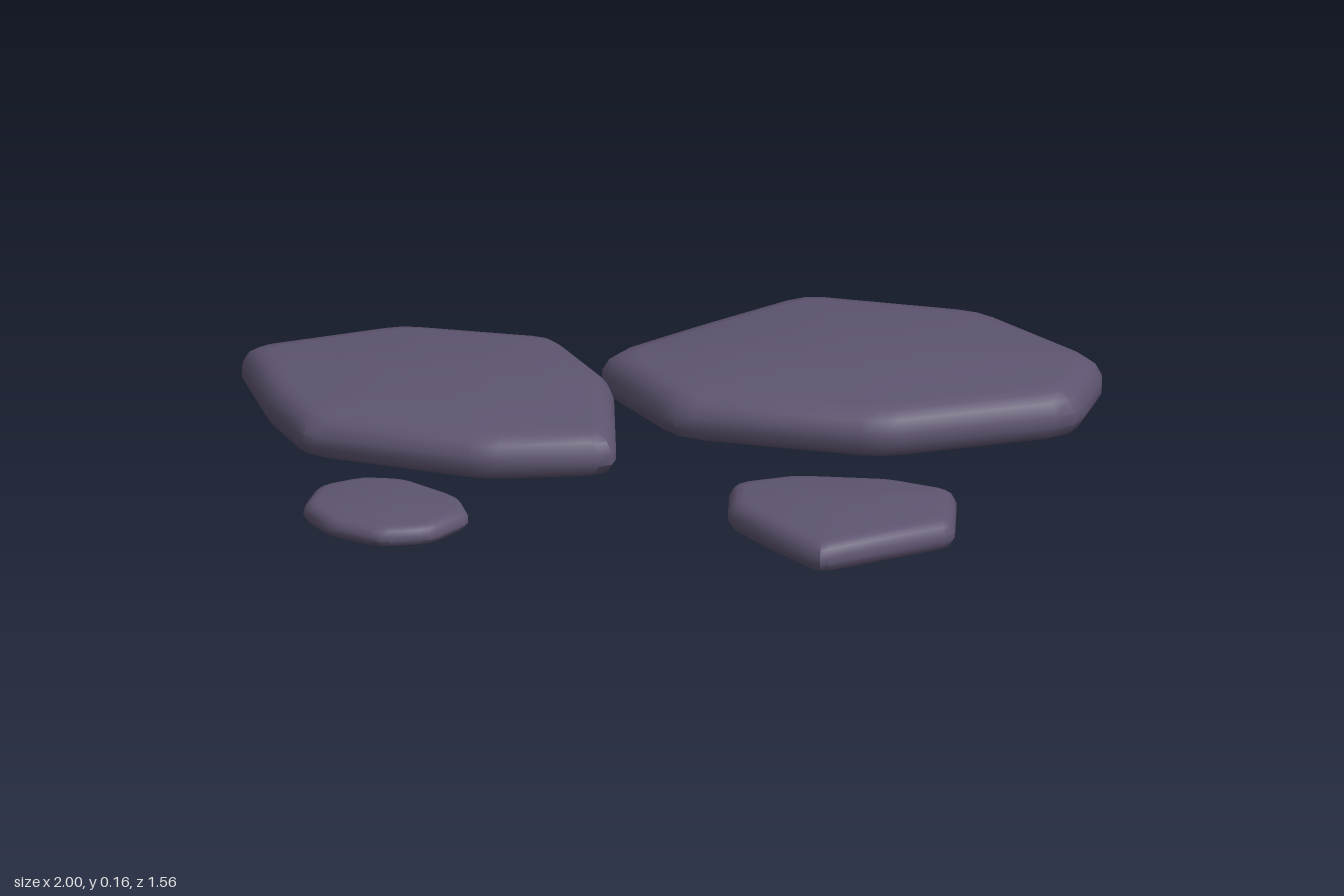
import * as THREE from 'three';
import { toCreasedNormals } from 'three/addons/utils/BufferGeometryUtils.js';

// Moves every side of a polygon inwards by d, keeping mitred corners.
function inset(points, d) {
  const n = points.length;
  const normal = (a, b) => new THREE.Vector2(a.y - b.y, b.x - a.x).normalize();
  return points.map((p, i) => {
    const n1 = normal(points[(i + n - 1) % n], p);
    const n2 = normal(p, points[(i + 1) % n]);
    return p.clone().addScaledVector(n1.clone().add(n2), d / (1 + n1.dot(n2)));
  });
}

// Replaces each corner by a short curve of three points.
function roundCorners(points, r) {
  const n = points.length;
  return points.flatMap((p, i) => {
    const toward = (q) => p.clone().addScaledVector(q.clone().sub(p).normalize(), r);
    const a = toward(points[(i + n - 1) % n]);
    const b = toward(points[(i + 1) % n]);
    const mid = a.clone().add(b).multiplyScalar(0.25).addScaledVector(p, 0.5);
    return [a, mid, b];
  });
}

// Slab with rounded rim, built from stacked inset outlines between two domed caps.
function stoneGeometry(outline, height, base, bevel, corner) {
  const points = outline.map(([x, z]) => new THREE.Vector2(x, z));
  const centre = points.reduce((s, p) => s.add(p), new THREE.Vector2()).divideScalar(points.length);
  // [inset, height] of each ring, from the underside to the top
  const profile = [[0.85, 0.07], [0.3, 0.17], [0, 0.36], [0, 0.55], [0.25, 0.75], [0.65, 0.87], [1.2, 0.91]];
  const pos = [centre.x, base, centre.y];
  const index = [];
  let m = 0;
  for (const [d, h] of profile) {
    const ring = roundCorners(inset(points, d * bevel), corner);
    m = ring.length;
    for (const p of ring) pos.push(p.x, base + h * height, p.y);
  }
  const top = pos.length / 3;
  pos.push(centre.x, base + height, centre.y);
  for (let i = 0; i < m; i++) {
    const j = (i + 1) % m;
    index.push(0, 1 + i, 1 + j);
    for (let k = 0; k < profile.length - 1; k++) {
      const a = 1 + k * m + i, b = 1 + k * m + j;
      index.push(a, a + m, b, b, a + m, b + m);
    }
    index.push(top - m + i, top, top - m + j);
  }
  const g = new THREE.BufferGeometry();
  g.setAttribute('position', new THREE.Float32BufferAttribute(pos, 3));
  g.setIndex(index);
  return toCreasedNormals(g, 0.6);
}

export function createModel() {
  const group = new THREE.Group();
  const stone = new THREE.MeshStandardMaterial({ color: 0x5e5470 });
  stone.name = 'purple slate';

  // Outlines run clockwise from above as [x, z].
  const stones = [
    { name: 'largeBackStone', height: 0.152, base: 0.005, bevel: 0.055, corner: 0.05,
      outline: [[0.19, -0.765], [0.64, -0.785], [1, -0.57], [1, -0.31], [0.59, -0.055], [0.08, -0.035], [-0.175, -0.265], [-0.01, -0.5]] },
    { name: 'largeLeftStone', height: 0.14, base: 0, bevel: 0.05, corner: 0.04,
      outline: [[-0.68, -0.355], [-0.3, -0.385], [-0.1, -0.165], [0.012, 0.205], [-0.285, 0.317], [-0.74, 0.29], [-0.88, 0.12], [-1.012, -0.115]] },
    { name: 'mediumFrontStone', height: 0.095, base: 0.008, bevel: 0.033, corner: 0.025,
      outline: [[0.455, 0.215], [0.68, 0.175], [0.85, 0.2], [0.905, 0.41], [0.64, 0.652], [0.5, 0.56], [0.355, 0.445], [0.32, 0.305]] },
    { name: 'smallFrontStone', height: 0.064, base: 0.01, bevel: 0.026, corner: 0.025,
      outline: [[-0.545, 0.455], [-0.44, 0.437], [-0.285, 0.51], [-0.235, 0.6], [-0.295, 0.725], [-0.41, 0.777], [-0.545, 0.745], [-0.632, 0.665], [-0.632, 0.535]] },
  ];
  for (const s of stones) {
    const mesh = new THREE.Mesh(stoneGeometry(s.outline, s.height, s.base, s.bevel, s.corner), stone);
    mesh.name = s.name;
    group.add(mesh);
  }
  return group;
}
